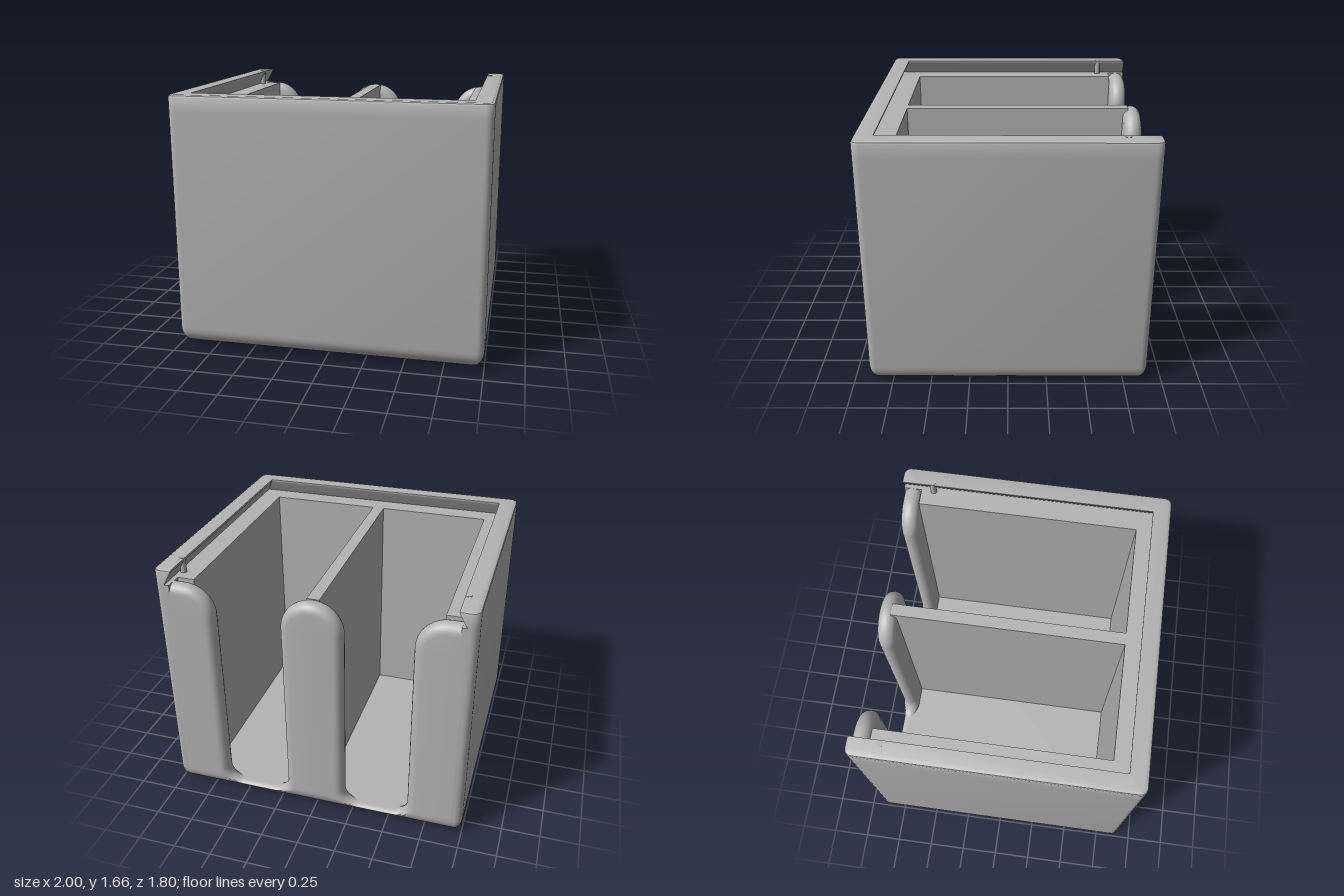
import * as THREE from 'three';
import { toCreasedNormals } from 'three/addons/utils/BufferGeometryUtils.js';

const FILLET = 0.12;      // radius of the bottom edge
const CORNER = 0.05;      // radius of the upright edges
const LEDGE = 1.56;       // height that carries the sliding lid
const FLOOR = 0.07;
const NOSE = 0.06;        // half thickness of the back panel

// How far the outer skin is drawn in at height y
const inset = y => y >= FILLET ? 0 : FILLET - Math.sqrt(FILLET ** 2 - (FILLET - Math.max(y, 0)) ** 2);

function finish(positions, index, angle = 0.6) {
  const g = new THREE.BufferGeometry();
  g.setAttribute('position', new THREE.Float32BufferAttribute(positions, 3));
  g.setIndex(index);
  return toCreasedNormals(g.toNonIndexed(), angle);
}

// Rounded rectangle in x and z, drawn in by d
function outline(d) {
  const r = Math.max(CORNER - d, 0.004), pts = [];
  [[1, -1], [1, 1], [-1, 1], [-1, -1]].forEach(([sx, sz], k) => {
    for (let i = 0; i <= 6; i++) {
      const a = (k - 1 + i / 6) * Math.PI / 2;
      pts.push([sx * (1 - d - r) + r * Math.cos(a), sz * (0.9 - d - r) + r * Math.sin(a)]);
    }
  });
  return pts;
}

// U-shaped section, open at the back between the side walls
function uSection(d, x, z, backX) {
  const back = -0.9 + d;
  return [...outline(d),
    [-backX, back], [-backX, -0.78], [-x, -0.78], [-x, z],
    [x, z], [x, -0.78], [backX, -0.78], [backX, back]];
}

// Joins level rings of equal length and caps both ends
function loft(rings) {
  const pos = [], idx = [], n = rings[0].pts.length;
  rings.forEach(({ y, pts }) => pts.forEach(([x, z]) => pos.push(x, y, z)));
  for (let i = 0; i < rings.length - 1; i++) {
    for (let j = 0; j < n; j++) {
      const a = i * n + j, b = i * n + (j + 1) % n;
      idx.push(a, a + n, b, a + n, b + n, b);
    }
  }
  const cap = ring => THREE.ShapeUtils.triangulateShape(ring.pts.map(p => new THREE.Vector2(...p)), []);
  const top = (rings.length - 1) * n;
  cap(rings[0]).forEach(([a, b, c]) => idx.push(a, b, c));
  cap(rings.at(-1)).forEach(([a, b, c]) => idx.push(top + a, top + c, top + b));
  return finish(pos, idx);
}

// Half of the back panel: a bullnose swept around one slot, with flat faces beside it
function backPanelHalf() {
  const path = [];   // x, y and the direction into the material
  const arc = (cx, cy, r, from, to, into) => {
    for (let i = 0; i <= 12; i++) {
      const a = THREE.MathUtils.degToRad(from + (to - from) * i / 12);
      const c = Math.cos(a), s = Math.sin(a);
      path.push([cx + r * c, cy + r * s, into * c, into * s]);
    }
  };
  arc(0, LEDGE - 0.2, 0.2, 90, 0, -1);
  arc(0.3, FLOOR + 0.1, 0.1, 180, 270, 1);
  const middle = path.length;
  arc(0.53, FLOOR + 0.1, 0.1, 270, 360, 1);
  arc(0.83, LEDGE - 0.2, 0.2, 180, 90, -1);
  path.push([0.93, LEDGE, 0, -1]);

  const pos = [], idx = [], steps = 12, n = steps + 3;
  path.forEach(([x, y, nx, ny], i) => {
    const section = [];
    for (let k = 0; k <= steps; k++) {
      const a = Math.PI * k / steps, d = NOSE * (1 - Math.sin(a));
      section.push([x + nx * d, y + ny * d, -0.84 + NOSE * Math.cos(a)]);
    }
    const side = i < middle ? 0 : 0.93;
    section.unshift([side, section[0][1], -0.78]);
    section.push([side, section.at(-1)[1], -0.9]);
    section.forEach(([px, py, pz]) => pos.push(px, py, Math.max(pz, -0.9 + inset(py))));
  });
  for (let i = 0; i < path.length - 1; i++) {
    for (let k = 0; k < n - 1; k++) {
      const a = i * n + k, b = a + n;
      idx.push(a, b, a + 1, b, b + 1, a + 1);
    }
  }
  return finish(pos, idx);
}

export function createModel() {
  const group = new THREE.Group();
  group.name = 'cardBox';
  const grey = new THREE.MeshStandardMaterial({ color: 0xb4b4b4, side: THREE.DoubleSide });
  grey.name = 'grey plastic';
  const add = (name, geometry, x = 0, y = 0, z = 0) => {
    const mesh = new THREE.Mesh(geometry, grey);
    mesh.name = name;
    mesh.position.set(x, y, z);
    group.add(mesh);
    return mesh;
  };

  // Underside with its rounded edge
  const low = 0.03;
  add('base', loft([0, 0.002, 0.006, 0.012, 0.02, low].map(y => ({ y, pts: outline(inset(y)) }))));
  add('floor', new THREE.BoxGeometry(1.7, FLOOR - 0.01, 1.6), 0, (FLOOR + 0.01) / 2, -0.04);

  // Front and side walls, lid ledge and undercut lip
  const walls = [low, 0.045, 0.065, 0.09, FILLET, LEDGE]
    .map(y => ({ y, pts: uSection(inset(y), 0.79, 0.69, 0.9) }));
  const lip = [[LEDGE, 0, 0.93, 0.83], [1.642, 0, 0.885, 0.785], [1.653, 0.005, 0.88, 0.78], [1.66, 0.018, 0.88, 0.78]]
    .map(([y, d, x, z]) => ({ y, pts: uSection(d, x, z, x) }));
  add('walls', loft([...walls, ...lip]));

  // Wall between the two compartments
  add('divider', new THREE.BoxGeometry(0.08, LEDGE - 0.04, 1.55), 0, (LEDGE + 0.04) / 2, -0.04);

  // Slotted back panel and lid catches, mirrored
  const panel = backPanelHalf();
  const catchPin = new THREE.CylinderGeometry(0.02, 0.02, 0.102, 20);
  for (const s of [1, -1]) {
    const side = s > 0 ? 'left' : 'right';
    add(side + 'BackPanel', panel).scale.x = s;
    add(side + 'LidCatch', catchPin, s * 0.9, 1.611, -0.695);
  }
  return group;
}
